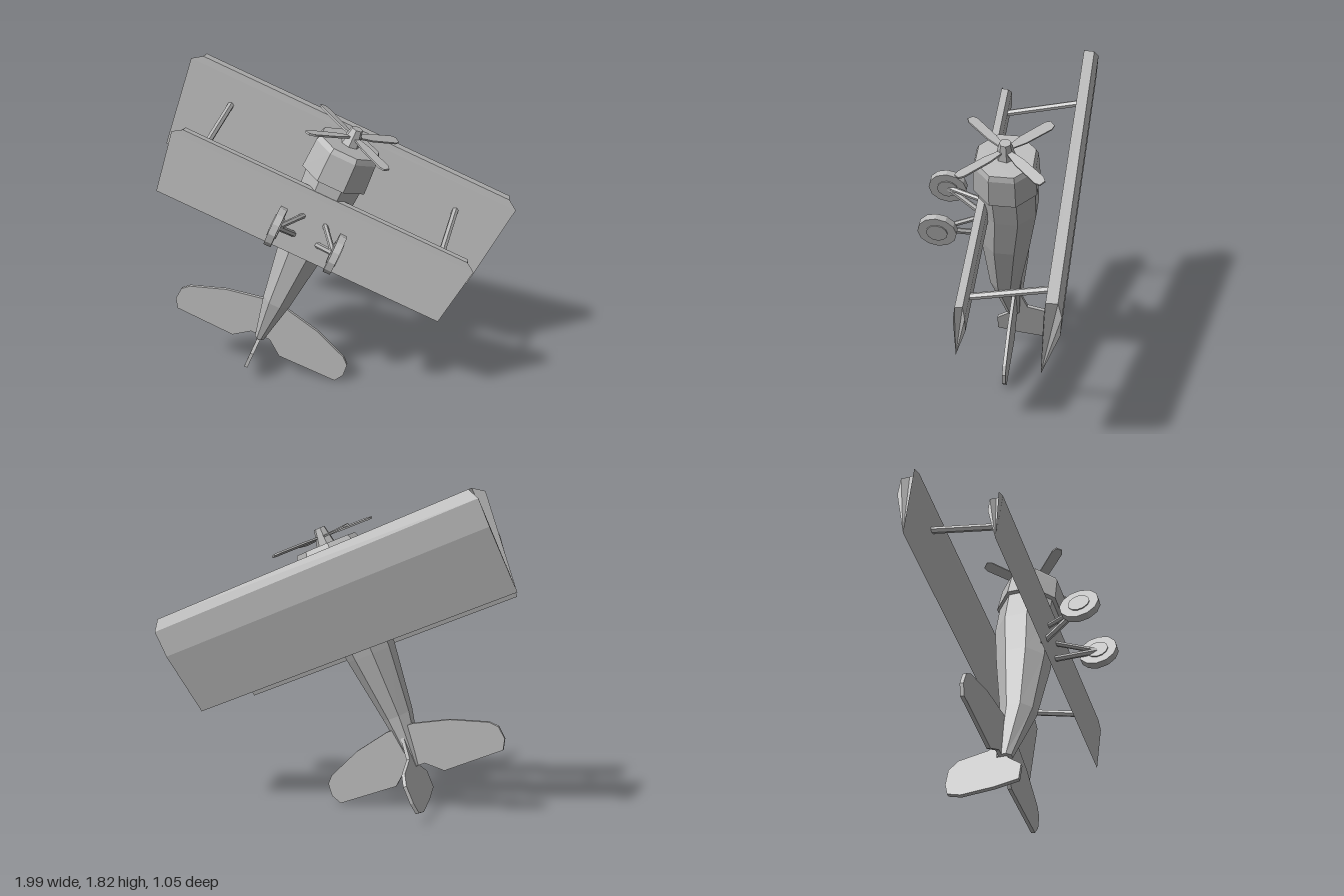
import * as THREE from 'three';

// Local frame: x = span, y = up, z = nose.
const V = (x, y, z) => new THREE.Vector3(x, y, z);

// Closed rings of [x, y, z] joined in order, with both ends capped.
function loft(rings) {
  const pos = [];
  const n = rings[0].length;
  const tri = (a, b, c) => pos.push(...a, ...b, ...c);
  for (let i = 0; i < rings.length - 1; i++) {
    for (let j = 0; j < n; j++) {
      const k = (j + 1) % n;
      const a = rings[i][j], b = rings[i][k], c = rings[i + 1][k], d = rings[i + 1][j];
      tri(a, b, c);
      tri(a, c, d);
    }
  }
  const first = rings[0], last = rings[rings.length - 1];
  for (let j = 1; j < n - 1; j++) {
    tri(first[0], first[j + 1], first[j]);
    tri(last[0], last[j], last[j + 1]);
  }
  const g = new THREE.BufferGeometry();
  g.setAttribute('position', new THREE.Float32BufferAttribute(pos, 3));
  g.computeVertexNormals();
  return g;
}

// Eight-sided body from stations [z, centreY, halfWidth, halfHeight].
function octagonBody(stations) {
  const k = 1 / Math.cos(Math.PI / 8);
  return loft(stations.map(([z, cy, rx, ry]) =>
    Array.from({ length: 8 }, (_, j) => {
      const a = (j + 0.5) * Math.PI / 4;
      return [Math.cos(a) * rx * k, cy + Math.sin(a) * ry * k, z];
    })));
}

// Wing from section points [halfSpan, y, z].
function wing(section) {
  return loft([-1, 1].map(side => section.map(([x, y, z]) => [side * x, y, z])));
}

// Thin plate from an outline, centred on its thickness.
function plate(points, depth) {
  const shape = new THREE.Shape(points.map(([a, b]) => new THREE.Vector2(a, b)));
  const g = new THREE.ExtrudeGeometry(shape, { depth, bevelEnabled: false });
  return g.translate(0, 0, -depth / 2);
}

// Straight rod between two points.
function rod(a, b, r) {
  const dir = b.clone().sub(a);
  const g = new THREE.CylinderGeometry(r, r, dir.length(), 6);
  g.applyQuaternion(new THREE.Quaternion().setFromUnitVectors(V(0, 1, 0), dir.clone().normalize()));
  const m = a.clone().add(b).multiplyScalar(0.5);
  return g.translate(m.x, m.y, m.z);
}

export function createModel() {
  const grey = new THREE.MeshStandardMaterial({ color: 0xb8b8b8 });
  grey.flatShading = true;
  const plane = new THREE.Group();
  plane.name = 'biplane';
  const add = (name, geometry, parent = plane) => {
    const m = new THREE.Mesh(geometry, grey);
    m.name = name;
    parent.add(m);
    return m;
  };

  // Fuselage and engine cowling
  add('fuselage', octagonBody([
    [0.07, 0, 0.028, 0.04],
    [0.37, -0.035, 0.08, 0.09],
    [0.75, -0.015, 0.13, 0.138],
    [1.02, 0.01, 0.15, 0.155],
    [1.21, 0.005, 0.16, 0.158],
  ]));
  add('cowling', octagonBody([
    [1.2, 0, 0.182, 0.175],
    [1.37, 0, 0.172, 0.168],
    [1.40, 0, 0.16, 0.155],
  ]));

  // Wings, thick at the front and sharp at the back
  add('upperWing', wing([
    [0.957, 0.297, 0.80],
    [0.972, 0.400, 1.16],
    [0.975, 0.408, 1.31],
    [0.940, 0.385, 1.37],
    [0.945, 0.325, 1.37],
    [1.003, 0.322, 1.33],
  ]));
  add('lowerWing', wing([
    [0.845, -0.170, 0.74],
    [0.860, -0.100, 0.98],
    [0.865, -0.098, 1.08],
    [0.830, -0.112, 1.13],
    [0.835, -0.153, 1.13],
    [0.887, -0.154, 1.095],
  ]));

  // Tail surfaces
  const tailHalf = [
    [0.08, 0.302], [0.29, 0.255], [0.49, 0.172], [0.53, 0.132],
    [0.537, 0.058], [0.505, 0.002], [0.15, -0.005], [0.06, 0.07],
  ];
  const tailOutline = [...tailHalf, ...tailHalf.map(([x, z]) => [-x, z]).reverse()];
  add('tailplane', plate(tailOutline, 0.02).rotateX(Math.PI / 2)).position.y = 0.018;
  add('rudder', plate([
    [0, -0.1], [-0.1, -0.1], [-0.13, 0.03], [-0.15, 0.2], [-0.13, 0.275], [-0.065, 0.297],
    [0.035, 0.297], [0.09, 0.25], [0.13, 0.09], [0.27, 0.04], [0.27, 0], [0.06, -0.02],
  ], 0.02).rotateY(-Math.PI / 2));

  // Propeller with four blades
  const propeller = new THREE.Group();
  propeller.name = 'propeller';
  propeller.position.z = 1.445;
  plane.add(propeller);
  add('hub', new THREE.CylinderGeometry(0.032, 0.055, 0.1, 7).rotateX(Math.PI / 2), propeller);
  const bladeOutline = [
    [-0.012, 0.02], [0.012, 0.02], [0.028, 0.12], [0.03, 0.29],
    [0.018, 0.318], [-0.018, 0.318], [-0.03, 0.29], [-0.028, 0.12],
  ];
  for (let i = 0; i < 4; i++) {
    const blade = add('blade', plate(bladeOutline, 0.01).rotateY(0.15), propeller);
    blade.rotation.z = Math.PI / 4 + i * Math.PI / 2;
  }

  // Struts, legs and wheels on both sides
  for (const side of [-1, 1]) {
    const label = side > 0 ? 'left' : 'right';
    add(label + 'WingStrut', rod(V(side * 0.7, -0.12, 1.055), V(side * 0.7, 0.35, 1.185), 0.019));
    const axle = V(side * 0.16, -0.373, 0.955);
    add(label + 'RearLeg', rod(axle, V(side * 0.06, -0.13, 0.835), 0.017));
    add(label + 'FrontLeg', rod(axle, V(side * 0.05, -0.12, 0.975), 0.015));
    const wheel = new THREE.Group();
    wheel.name = label + 'Wheel';
    wheel.position.set(side * 0.17, -0.373, 0.955);
    plane.add(wheel);
    add('tyre', new THREE.CylinderGeometry(0.11, 0.11, 0.04, 12).rotateZ(Math.PI / 2), wheel);
    add('wheelDisc', new THREE.CylinderGeometry(0.06, 0.06, 0.052, 12).rotateZ(Math.PI / 2), wheel);
  }

  // Climbing attitude: steep nose-up with a bank
  const span = V(0.906, -0.392, 0.159).normalize();
  const nose = V(0.39, 0.92, 0.04);
  nose.addScaledVector(span, -nose.dot(span)).normalize();
  const up = nose.clone().cross(span);
  plane.quaternion.setFromRotationMatrix(new THREE.Matrix4().makeBasis(span, up, nose));
  plane.position.set(-0.501, 0.2135, -0.017);

  const model = new THREE.Group();
  model.name = 'model';
  model.add(plane);

  // Centre on x and z, and stand on y = 0
  model.updateMatrixWorld(true);
  const box = new THREE.Box3().setFromObject(model, true);
  const c = box.getCenter(V(0, 0, 0));
  plane.position.add(V(-c.x, -box.min.y, -c.z));
  return model;
}
